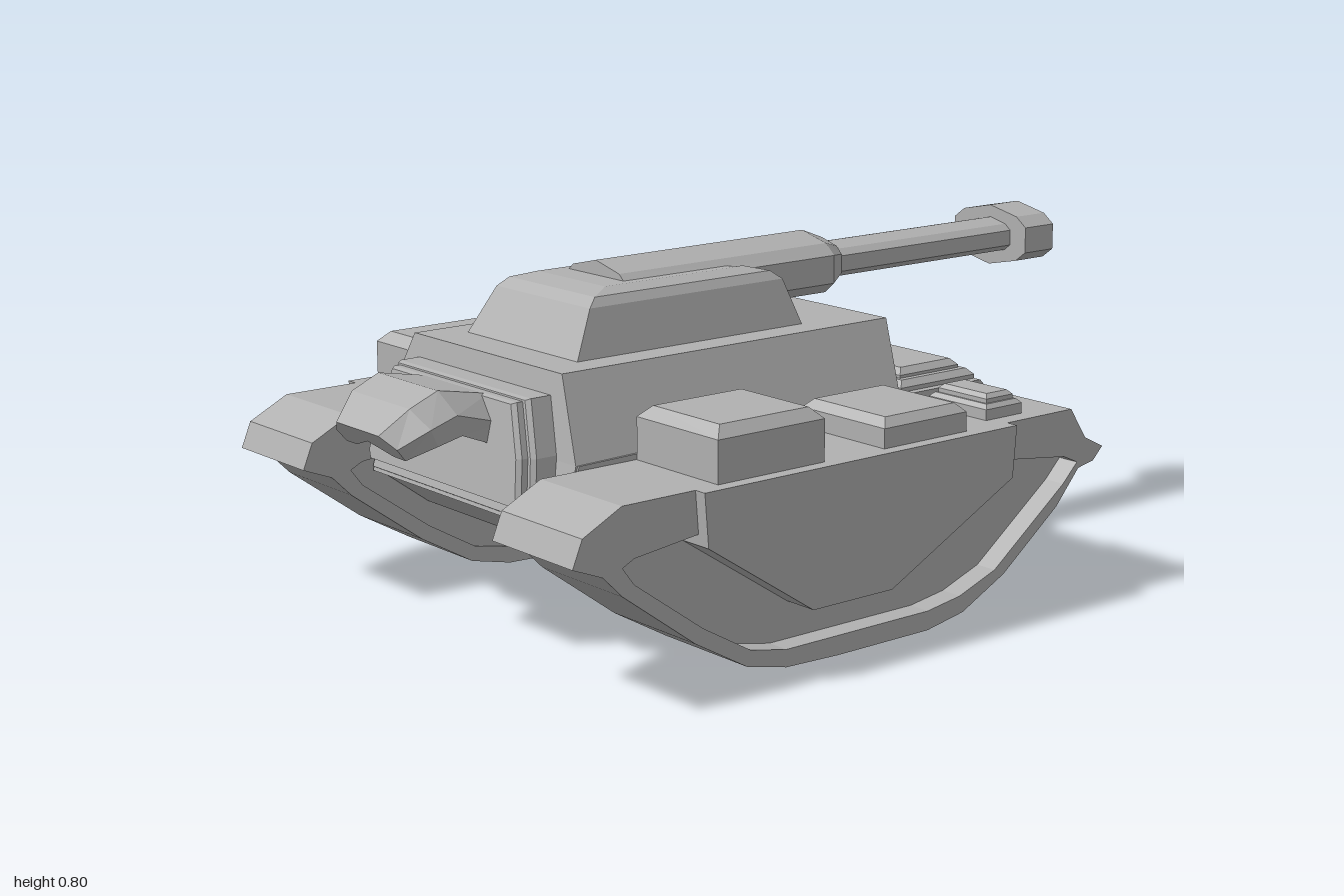
import * as THREE from 'three';

const steel = new THREE.MeshStandardMaterial({ color: 0xb0b0b0, flatShading: true });
steel.name = 'steel grey';

function add(parent, name, geometry) {
  const mesh = new THREE.Mesh(geometry, steel);
  mesh.name = name;
  parent.add(mesh);
  return mesh;
}

// Joins rings of [x, y, z] points into a closed solid; axes a and b span the caps.
function loft(rings, a, b) {
  const n = rings[0].length;
  const tris = [];
  for (let r = 0; r < rings.length - 1; r++) {
    for (let i = 0; i < n; i++) {
      const j = (i + 1) % n;
      const [p, q, s, t] = [rings[r][i], rings[r][j], rings[r + 1][j], rings[r + 1][i]];
      tris.push([p, q, s], [p, s, t]);
    }
  }
  const flat = rings[0].map((p) => new THREE.Vector2(p[a], p[b]));
  const clockwise = THREE.ShapeUtils.isClockWise(flat);
  const last = rings[rings.length - 1];
  for (const face of THREE.ShapeUtils.triangulateShape(flat, [])) {
    const f = face.map((i) => flat[i]);
    const same = THREE.ShapeUtils.isClockWise(f) === clockwise;
    const [i, j, k] = same ? face : [face[0], face[2], face[1]];
    tris.push([rings[0][i], rings[0][k], rings[0][j]], [last[i], last[j], last[k]]);
  }
  // Turn every face outward when the solid came out inside out
  let volume = 0;
  for (const [p, q, s] of tris) {
    volume += new THREE.Vector3(...p).dot(new THREE.Vector3(...q).cross(new THREE.Vector3(...s)));
  }
  if (volume < 0) tris.forEach((t) => t.reverse());
  const geometry = new THREE.BufferGeometry();
  geometry.setAttribute('position', new THREE.Float32BufferAttribute(tris.flat(2), 3));
  geometry.computeVertexNormals();
  return geometry;
}

// Stack of rectangles [y, x0, x1, z0, z1]
const stack = (levels) => loft(levels.map(([y, x0, x1, z0, z1]) =>
  [[x0, y, z0], [x1, y, z0], [x1, y, z1], [x0, y, z1]]), 0, 2);

// Box with a sloped rim around its top
function bevelBox(x, z, w, d, y0, y1, bevel) {
  const level = (y, k) => [y, x - w / 2 + k, x + w / 2 - k, z - d / 2 + k, z + d / 2 - k];
  return stack([level(y0, 0), level(y1 - bevel, 0), level(y1, bevel)]);
}

const points = (list) => list.map(([u, v]) => new THREE.Vector2(u, v));

// Side profile of [z, y] points swept across from x0 to x1
function sideExtrude(outline, x0, x1, hole) {
  const shape = new THREE.Shape(points(outline));
  if (hole) shape.holes.push(new THREE.Path(points(hole)));
  return new THREE.ExtrudeGeometry(shape, { depth: x1 - x0, bevelEnabled: false })
    .rotateY(-Math.PI / 2).translate(x1, 0, 0);
}

// Flattened ten-sided section used by all gun parts
const gunSection = (w, h) => [[0, h], [0.74 * w, 0.74 * h], [w, 0.42 * h], [w, -0.42 * h],
  [0.74 * w, -0.74 * h], [0, -h], [-0.74 * w, -0.74 * h], [-w, -0.42 * h],
  [-w, 0.42 * h], [-0.74 * w, 0.74 * h]];
const gunLoft = (rings) => loft(rings.map(([z, w, h]) =>
  gunSection(w, h).map(([x, y]) => [x, y + 0.723, z])), 0, 1);

const TRACK = [[0.79, 0.44], [0.89, 0.39], [0.915, 0.33], [0.84, 0.3], [0.79, 0.25], [0.6, 0.11],
  [0.46, 0.03], [0.35, 0.005], [0.2, 0], [-0.07, 0], [-0.18, 0.02], [-0.31, 0.085],
  [-0.48, 0.215], [-0.55, 0.295], [-0.6, 0.305], [-0.63, 0.335], [-0.57, 0.365], [-0.52, 0.44]];
const RECESS = [[0.79, 0.31], [0.76, 0.325], [0.59, 0.345], [-0.3, 0.355], [-0.5, 0.33],
  [-0.545, 0.31], [-0.5, 0.265], [-0.28, 0.1], [-0.17, 0.06], [-0.07, 0.045], [0.35, 0.045],
  [0.45, 0.065], [0.58, 0.14], [0.76, 0.27]];
const SKIRT = [[0.6, 0.44], [0.59, 0.32], [0.3, 0.13], [0.07, 0.13], [-0.3, 0.32], [-0.31, 0.44]];
const LOWER_HULL = [[0.69, 0.45], [0.73, 0.31], [0.58, 0.2], [0.36, 0.09], [-0.1, 0.09],
  [-0.27, 0.13], [-0.43, 0.25], [-0.52, 0.38], [-0.525, 0.44], [-0.5, 0.465], [-0.2, 0.465]];

export function createModel() {
  const model = new THREE.Group();
  model.name = 'tank';

  // Tracks, skirts and fender boxes
  for (const side of [1, -1]) {
    const unit = new THREE.Group();
    unit.name = side > 0 ? 'leftTrackUnit' : 'rightTrackUnit';
    model.add(unit);
    const across = (outline, a, b, hole) =>
      sideExtrude(outline, Math.min(side * a, side * b), Math.max(side * a, side * b), hole);
    add(unit, 'trackRim', across(TRACK, 0.37, 0.645, RECESS));
    add(unit, 'trackWall', across(RECESS, 0.375, 0.59));
    add(unit, 'sideSkirt', across(SKIRT, 0.585, 0.675));
    const x = side * 0.507;
    add(unit, 'largeStowageBox', bevelBox(x, 0.39, 0.27, 0.295, 0.43, 0.56, 0.025));
    add(unit, 'lowStowageBox', bevelBox(x, -0.057, 0.27, 0.25, 0.43, 0.505, 0.02));
    add(unit, 'fenderHatchBase', bevelBox(x, -0.345, 0.185, 0.115, 0.43, 0.475, 0.01));
    add(unit, 'fenderHatch', bevelBox(x, -0.345, 0.155, 0.085, 0.47, 0.495, 0.01));
  }

  // Hull
  add(model, 'lowerHull', sideExtrude(LOWER_HULL, -0.37, 0.37));
  add(model, 'upperHull', stack([
    [0.3, -0.37, 0.37, -0.24, 0.73], [0.45, -0.365, 0.365, -0.245, 0.695],
    [0.63, -0.28, 0.28, -0.275, 0.665]]));
  add(model, 'engineDeckBase', bevelBox(0, -0.38, 0.7, 0.24, 0.44, 0.49, 0.015));
  add(model, 'engineDeckPanel', bevelBox(0, -0.38, 0.64, 0.19, 0.48, 0.512, 0.015));

  // Raised nose plate in two steps, leaning back towards the top
  const plate = (k, out) => [[-0.25, 0.58], [0.25, 0.58], [0.295, 0.46], [0.31, 0.37],
    [0.3, 0.35], [-0.3, 0.35], [-0.31, 0.37], [-0.295, 0.46]].map(([x, y]) => {
    const py = 0.46 + (y - 0.46) * k;
    return [x * k, py, out - 0.17 * (py - 0.46)];
  });
  add(model, 'nosePlateFrame', loft([plate(1, 0.65), plate(1, 0.745), plate(0.97, 0.755)], 0, 1));
  add(model, 'nosePlate', loft([plate(0.94, 0.74), plate(0.94, 0.77), plate(0.91, 0.78)], 0, 1));

  // Drooping hood on the nose: [top z, top y, low z, low y, scale of width]
  const hood = [[0.74, 0.57, 0.74, 0.46, 1], [0.87, 0.595, 0.84, 0.5, 1],
    [0.94, 0.565, 0.9, 0.485, 0.98], [1, 0.51, 0.955, 0.455, 0.72]];
  add(model, 'noseHood', loft(hood.map(([tz, ty, lz, ly, k]) => {
    const mid = (t) => [ly + (ty - ly) * t, lz + (tz - lz) * t];
    return [[-0.115, 1], [0.115, 1], [0.165, 0.5], [0.16, 0], [0.1, 0.02], [0, 0.45],
      [-0.1, 0.02], [-0.16, 0], [-0.165, 0.5]].map(([x, t]) => [x * k, ...mid(t)]);
  }), 0, 1));

  // Turret, notched around the gun housing at its rear
  const turretRing = (y, w, front, rear, notch) => [[-w, y, front], [w, y, front], [w, y, rear],
    [0.11, y, notch], [-0.11, y, notch], [-w, y, rear]];
  add(model, 'turret', loft([
    turretRing(0.62, 0.21, 0.575, -0.08, 0.06), turretRing(0.735, 0.175, 0.51, -0.045, 0.06),
    turretRing(0.755, 0.16, 0.485, -0.02, 0.06), turretRing(0.767, 0.125, 0.43, 0.03, 0.06)], 0, 2));

  // Gun
  add(model, 'gunHousing', gunLoft([[0.36, 0.115, 0.078], [-0.26, 0.115, 0.08], [-0.325, 0.07, 0.055]]));
  add(model, 'gunBarrel', gunLoft([[-0.3, 0.07, 0.045], [-0.93, 0.07, 0.045]]));
  const muzzle = new THREE.Shape(points(gunSection(0.125, 0.076)));
  muzzle.holes.push(new THREE.Path(points(gunSection(0.08, 0.05))));
  add(model, 'muzzle', new THREE.ExtrudeGeometry(muzzle, { depth: 0.1, bevelEnabled: false })
    .translate(0, 0.723, -1));
  add(model, 'muzzleBack', gunLoft([[-0.92, 0.09, 0.056], [-0.902, 0.09, 0.056]]));

  return model;
}
